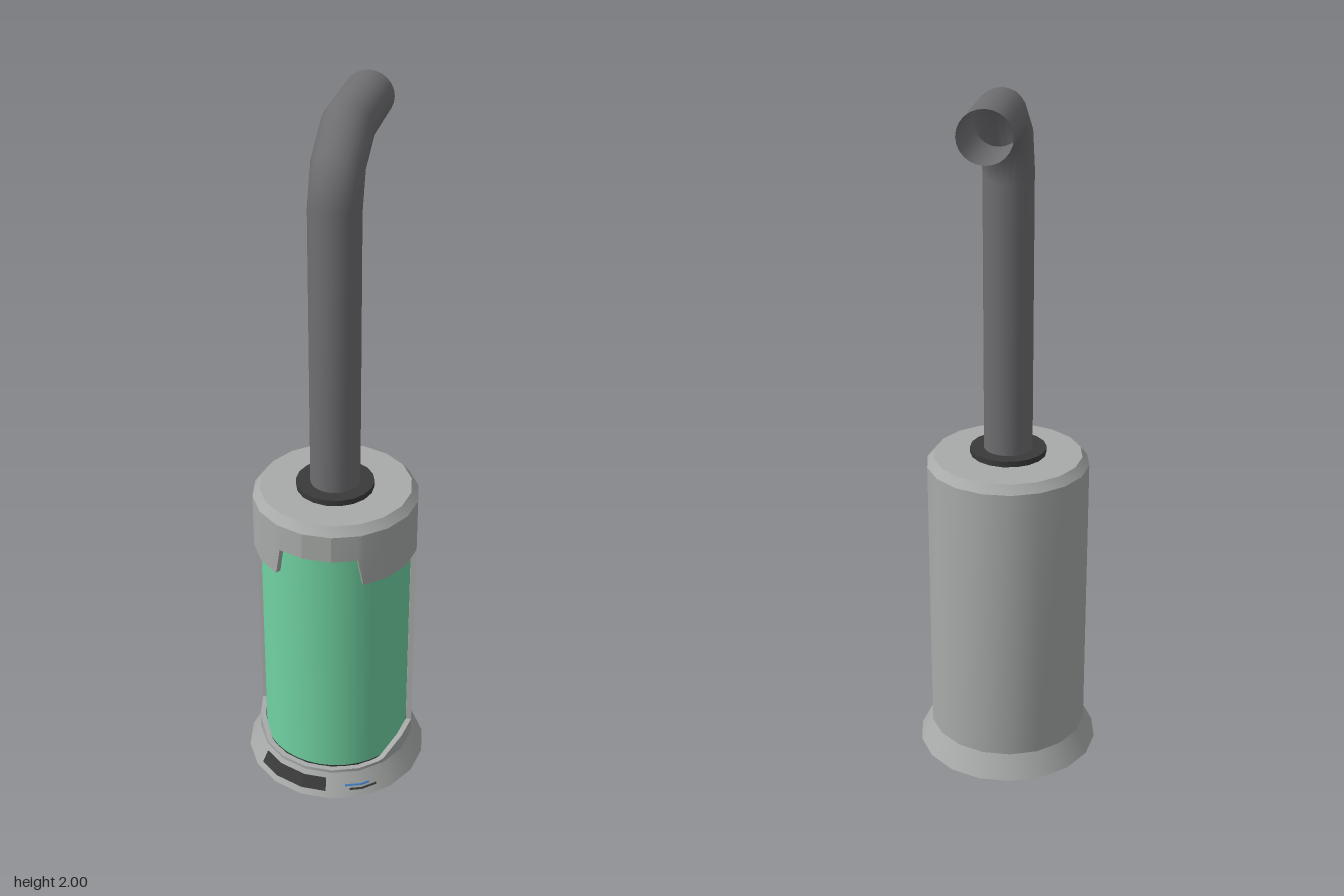
import * as THREE from 'three';
import { toCreasedNormals } from 'three/addons/utils/BufferGeometryUtils.js';

const SIDES = 18, AXIS_Z = 0.065, RAD = Math.PI / 180;

const material = (name, color, side = THREE.FrontSide) => {
  const m = new THREE.MeshStandardMaterial({ color, side });
  m.name = name;
  return m;
};

// Radius of the 18-sided outline at an angle in degrees measured from the front
const polyRadius = (r, deg) => {
  const local = ((((deg - 10) % 20) + 20) % 20) - 10;
  return r * Math.cos(10 * RAD) / Math.cos(local * RAD);
};

// Sweep a four-point (radius, height) loop around the axis; stations are [angle, loop]
function sweep(stations, crease) {
  const pos = [], idx = [];
  for (const [deg, loop] of stations) {
    for (const [r, y] of loop) {
      const p = polyRadius(r, deg);
      pos.push(p * Math.sin(deg * RAD), y, p * Math.cos(deg * RAD));
    }
  }
  const last = (stations.length - 1) * 4;
  for (let i = 0; i < last; i += 4) {
    for (let k = 0; k < 4; k++) {
      const a = i + k, b = i + (k + 1) % 4;
      idx.push(a, a + 4, b + 4, a, b + 4, b);
    }
  }
  idx.push(0, 1, 2, 0, 2, 3, last, last + 2, last + 1, last, last + 3, last + 2);
  const g = new THREE.BufferGeometry();
  g.setAttribute('position', new THREE.Float32BufferAttribute(pos, 3));
  g.setIndex(idx);
  return toCreasedNormals(g, crease);
}

const wallLoop = (y0, y1) => [[0.235, y0], [0.235, y1], [0.219, y1], [0.219, y0]];
const wall = (rows, crease) => sweep(rows.map(([a, y0, y1]) => [a, wallLoop(y0, y1)]), crease);

// Thin plate lying on the flared foot
const flareRadius = (y) => 0.27 - 0.5 * y;
const flarePlate = (angles, y0, y1) => sweep(angles.map((a) => [a, [
  [flareRadius(y0) + 0.003, y0], [flareRadius(y1) + 0.003, y1],
  [flareRadius(y1) - 0.002, y1], [flareRadius(y0) - 0.002, y0],
]]), 0.3);

// Lathe whose corners line up with the walls
const lathe = (points) => new THREE.LatheGeometry(
  points.map(([r, y]) => new THREE.Vector2(r, y)), SIDES, 10 * RAD);

// Mitred pipe: each section is given by its outer and inner (z, y) points
function pipeGeometry(sections, radius, sides) {
  const pos = [], idx = [];
  sections.forEach(([oz, oy, iz, iy], i) => {
    const cz = (oz + iz) / 2, cy = (oy + iy) / 2;
    for (let j = 0; j < sides; j++) {
      const t = j / sides * Math.PI * 2, c = Math.cos(t);
      pos.push(radius * Math.sin(t), cy + (oy - cy) * c, cz + (oz - cz) * c);
      if (i === sections.length - 1) continue;
      const a = i * sides + j, b = i * sides + (j + 1) % sides;
      idx.push(a, b, b + sides, a, b + sides, a + sides);
    }
  });
  const g = new THREE.BufferGeometry();
  g.setAttribute('position', new THREE.Float32BufferAttribute(pos, 3));
  g.setIndex(idx);
  g.computeVertexNormals();
  return g;
}

export function createModel() {
  const shell = material('shell grey', 0xa8aba9, THREE.DoubleSide);
  const pipeGrey = material('pipe grey', 0x6e6e71, THREE.DoubleSide);
  const green = material('canister green', 0x70d2a2);
  const dark = material('dark trim', 0x3a3a3a, THREE.DoubleSide);
  const blue = material('blue accent', 0x3f7fc0);

  const model = new THREE.Group();
  model.name = 'canisterWithPipe';
  const add = (name, geometry, mat, y = 0, z = AXIS_Z) => {
    const mesh = new THREE.Mesh(geometry, mat);
    mesh.name = name;
    mesh.position.set(0, y, z);
    model.add(mesh);
    return mesh;
  };

  // Back half of the housing
  const back = [];
  for (let a = 90; a <= 270; a += 20) back.push([a, 0.07, 0.92]);
  add('backShell', wall(back, 0.5), shell);

  // Front rims: notched upper band and dipped lower band, mirrored left to right
  const mirrored = (half) => [
    ...half.map(([a, ...ys]) => [-a, ...ys]),
    ...half.slice().reverse(),
  ];
  add('upperFrontBand', wall(mirrored([
    [90, 0.755, 0.92], [70, 0.755, 0.92], [50, 0.755, 0.92],
    [32, 0.755, 0.92], [28, 0.84, 0.92], [10, 0.84, 0.92],
  ]), 0.25), shell);
  add('lowerFrontBand', wall(mirrored([
    [90, 0.07, 0.12], [70, 0.07, 0.12], [50, 0.07, 0.085],
    [46, 0.07, 0.08], [30, 0.07, 0.08], [10, 0.07, 0.08],
  ]), 0.5), shell);

  // Bevelled lid and flared foot
  add('lid', toCreasedNormals(lathe([[0.235, 0.92], [0.215, 0.945], [0, 0.945]]), 0.5), shell);
  add('flaredFoot', lathe([[0.27, 0], [0.235, 0.07]]), shell);

  // Inner canister and its dark seat
  add('canister', new THREE.CylinderGeometry(0.215, 0.215, 0.82, 36), green, 0.49);
  add('canisterSeat', new THREE.CylinderGeometry(0.218, 0.212, 0.04, 36, 1, true), dark, 0.065);

  // Vent and accent strips on the foot
  add('footVent', flarePlate([-46, -30, -10, 6], 0.02, 0.055), dark);
  add('blueStrip', flarePlate([19, 30, 36], 0.032, 0.036), blue);
  add('darkStrip', flarePlate([22, 30, 41], 0.021, 0.025), dark);

  // Collar and bent open pipe
  add('collar', new THREE.CylinderGeometry(0.11, 0.11, 0.018, SIDES), dark, 0.953, 0.073);
  add('pipe', pipeGeometry([
    [0.143, 0.95, 0.003, 0.95],
    [0.143, 1.785, 0.003, 1.74],
    [0.09, 1.91, -0.018, 1.825],
    [-0.04, 2, -0.115, 1.865],
    [-0.328, 2, -0.328, 1.865],
  ], 0.07, 24), pipeGrey, 0, 0);

  return model;
}
